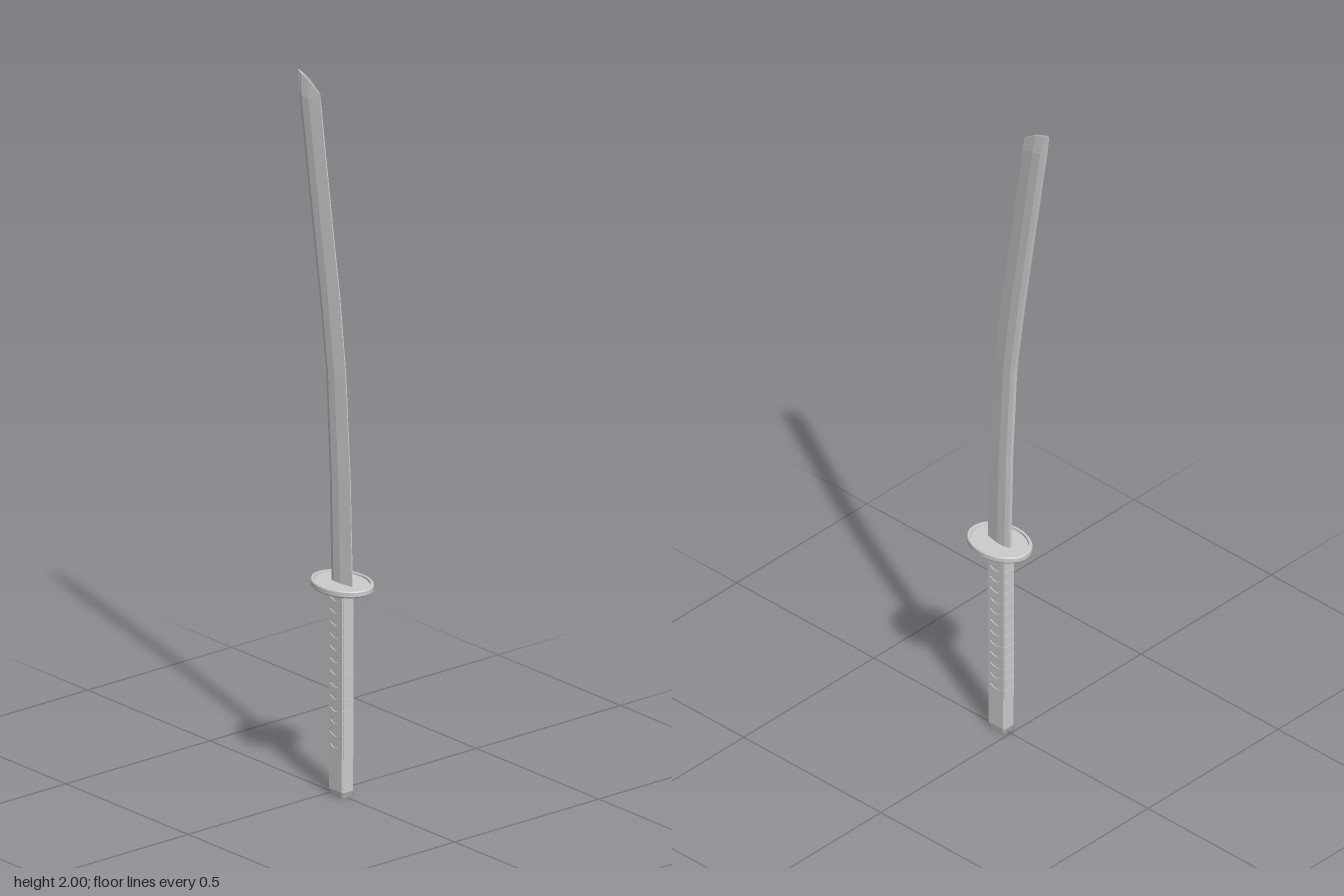
import * as THREE from 'three';

const GRIP_Z = 0.036;
const metal = new THREE.MeshStandardMaterial({ color: 0xcccccc, flatShading: true });

function addMesh(parent, name, geometry) {
  const mesh = new THREE.Mesh(geometry, metal);
  mesh.name = name;
  parent.add(mesh);
  return mesh;
}

// Skin a stack of equal-sized rings (counter-clockwise seen from above) and cap both ends
function loft(rings) {
  const n = rings[0].length;
  const index = [];
  for (let i = 0; i < rings.length - 1; i++) {
    for (let j = 0; j < n; j++) {
      const a = i * n + j, b = i * n + (j + 1) % n;
      index.push(a, b, b + n, a, b + n, a + n);
    }
  }
  const top = (rings.length - 1) * n;
  for (let j = 1; j < n - 1; j++) {
    index.push(0, j + 1, j, top, top + j, top + j + 1);
  }
  const geometry = new THREE.BufferGeometry();
  geometry.setAttribute('position', new THREE.Float32BufferAttribute(rings.flat(2), 3));
  geometry.setIndex(index);
  geometry.computeVertexNormals();
  return geometry;
}

// Rectangle with cut corners, centred on the grip axis
function gripRing(y, hx, hz, c) {
  const corners = [[hx - c, hz], [hx, hz - c], [hx, c - hz], [hx - c, -hz],
    [c - hx, -hz], [-hx, c - hz], [-hx, hz - c], [c - hx, hz]];
  return corners.map(([x, z]) => [x, y, z + GRIP_Z]);
}

// Six-sided blade section: cutting edge at the front, bevelled spine at the back
function bladeRing([zf, yf, zb, yb, thick, bulge]) {
  const at = (x, t) => [x * thick, yf + (yb - yf) * t + bulge * 4 * t * (1 - t), zf + (zb - zf) * t];
  return [at(0.0015, 0), at(0.009, 0.5), at(0.009, 0.84), at(0.005, 1),
    at(-0.005, 1), at(-0.009, 0.84), at(-0.009, 0.5), at(-0.0015, 0)];
}

function createBlade() {
  // front z, front y, spine z, spine y, thickness factor, bulge of the slanted tip
  return loft([
    [0.083, 0.595, 0.003, 0.595, 1, 0],
    [0.074, 0.9, -0.004, 0.9, 1, 0],
    [0.056, 1.19, -0.019, 1.19, 1, 0],
    [0.032, 1.4, -0.047, 1.4, 1, 0],
    [0.001, 1.6, -0.077, 1.6, 1, 0],
    [-0.044, 1.91, -0.129, 1.94, 1, 0.006],
    [-0.05, 1.957, -0.138, 2, 0.4, 0.006],
  ].map(bladeRing));
}

// Oval guard with a raised rim around its upper face
function createGuard() {
  const profile = [[0, 0.589], [0.071, 0.589], [0.074, 0.593], [0.074, 0.605],
    [0.072, 0.608], [0.066, 0.608], [0.065, 0.602], [0, 0.602]];
  const geometry = new THREE.LatheGeometry(profile.map(([r, y]) => new THREE.Vector2(r, y)), 40);
  geometry.scale(1, 1, 1.315);
  geometry.translate(0, 0, 0.041);
  return geometry;
}

// Wrapped side panel with a row of pointed openings
function createWrapSide() {
  const hz = 0.0275, low = 0.112, high = 0.588;
  const panel = new THREE.Shape();
  panel.moveTo(-hz, low);
  panel.lineTo(hz, low);
  panel.lineTo(hz, high);
  panel.lineTo(-hz, high);
  panel.closePath();
  for (let i = 0; i < 13; i++) {
    const y = 0.145 + i * 0.0347;
    const hole = new THREE.Path();
    hole.moveTo(-0.021, y);
    hole.quadraticCurveTo(0, y + 0.018, 0.021, y);
    hole.quadraticCurveTo(0, y - 0.018, -0.021, y);
    panel.holes.push(hole);
  }
  const geometry = new THREE.ExtrudeGeometry(panel, { depth: 0.004, bevelEnabled: false, curveSegments: 4 });
  geometry.rotateY(Math.PI / 2);
  return geometry;
}

export function createModel() {
  const sword = new THREE.Group();
  sword.name = 'sword';

  addMesh(sword, 'blade', createBlade());
  addMesh(sword, 'guard', createGuard());

  const handle = new THREE.Group();
  handle.name = 'handle';
  sword.add(handle);

  // Core and pommel
  addMesh(handle, 'gripCore', loft([
    gripRing(0.1, 0.0175, 0.0295, 0.004),
    gripRing(0.592, 0.0175, 0.0295, 0.004),
  ]));
  addMesh(handle, 'pommel', loft([
    gripRing(0, 0.016, 0.024, 0.004),
    gripRing(0.018, 0.02, 0.031, 0.005),
    gripRing(0.112, 0.02, 0.031, 0.005),
  ]));

  // Wrap panels on both flat sides
  const wrapSide = createWrapSide();
  for (const side of [1, -1]) {
    const panel = addMesh(handle, side > 0 ? 'leftWrap' : 'rightWrap', wrapSide);
    panel.position.set(side * 0.016, 0, GRIP_Z);
    if (side < 0) panel.rotation.y = Math.PI;
  }

  // Wrap bands folding over the front and back
  const band = new THREE.BoxGeometry(0.034, 0.0322, 0.003);
  for (let i = 0; i < 14; i++) {
    const y = 0.1277 + i * 0.0347;
    for (const side of [1, -1]) {
      addMesh(handle, side > 0 ? 'frontWrapBand' : 'backWrapBand', band)
        .position.set(0, y, GRIP_Z + side * 0.0295);
    }
  }
  return sword;
}
